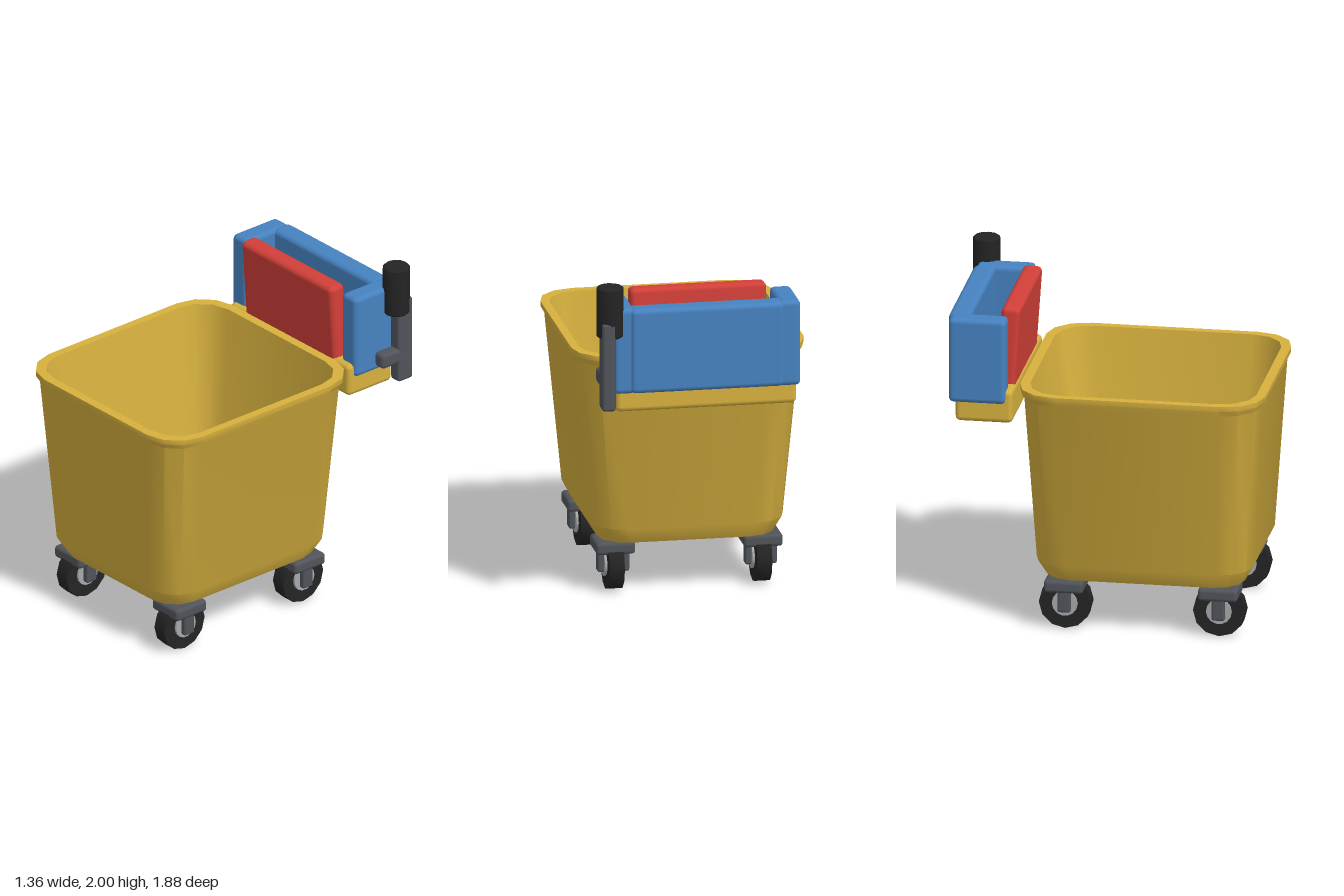
import * as THREE from 'three';
import { toCreasedNormals } from 'three/addons/utils/BufferGeometryUtils.js';
import { RoundedBoxGeometry } from 'three/addons/geometries/RoundedBoxGeometry.js';

const material = (name, color) => Object.assign(new THREE.MeshStandardMaterial({ color }), { name });

// Rounded-rectangle outline: half width hx, half depth hz, corner radius r
function ring(hx, hz, r, steps) {
  const points = [];
  const signs = [[1, 1], [-1, 1], [-1, -1], [1, -1]];
  signs.forEach(([sx, sz], corner) => {
    for (let i = 0; i <= steps; i++) {
      const a = (corner + i / steps) * Math.PI / 2;
      points.push([sx * (hx - r) + r * Math.cos(a), sz * (hz - r) + r * Math.sin(a)]);
    }
  });
  return points;
}

// Skin joining rounded-rectangle cross-sections [y, hx, hz, r]
function loft(sections, steps) {
  const positions = [], index = [], n = 4 * (steps + 1);
  sections.forEach(([y, hx, hz, r]) => ring(hx, hz, r, steps).forEach(([x, z]) => positions.push(x, y, z)));
  for (let i = 0; i < sections.length - 1; i++) {
    for (let j = 0; j < n; j++) {
      const a = i * n + j, b = i * n + (j + 1) % n;
      index.push(a, a + n, b + n, a, b + n, b);
    }
  }
  const geometry = new THREE.BufferGeometry();
  geometry.setAttribute('position', new THREE.Float32BufferAttribute(positions, 3));
  geometry.setIndex(index);
  return toCreasedNormals(geometry, 0.6);
}

export function createModel() {
  const model = new THREE.Group();
  model.name = 'mopBucket';
  const yellow = material('yellow plastic', 0xd6b03e);
  const blue = material('blue plastic', 0x4682c0);
  const red = material('red plastic', 0xd23f38);
  const black = material('black rubber', 0x242424);
  const steel = material('dark grey metal', 0x50545a);
  const hubGrey = material('light grey hub', 0xa6a8aa);
  const waterBlue = material('water', 0x8cadb9);

  function add(name, geometry, mat, x, y, z, parent = model) {
    const mesh = new THREE.Mesh(geometry, mat);
    mesh.name = name;
    mesh.position.set(x, y, z);
    parent.add(mesh);
    return mesh;
  }
  const box = (w, h, d, bevel) => new RoundedBoxGeometry(w, h, d, 2, bevel);

  // Bucket: outside from the bottom up, over the rim, then down inside
  const bucketZ = 0.225;
  add('bucket', loft([
    [0.305, 0, 0, 0],
    [0.305, 0.515, 0.58, 0.17],
    [0.40, 0.565, 0.632, 0.19],
    [1.40, 0.66, 0.695, 0.22],
    [1.435, 0.68, 0.715, 0.23],
    [1.465, 0.68, 0.715, 0.23],
    [1.465, 0.63, 0.66, 0.2],
    [0.37, 0.50, 0.525, 0.15],
    [0.37, 0, 0, 0],
  ], 3), yellow, 0, 0, bucketZ);

  // Water on the bucket floor
  add('water', loft([
    [0.37, 0.435, 0.45, 0.17],
    [0.378, 0.435, 0.45, 0.17],
    [0.378, 0, 0, 0],
  ], 8), waterBlue, 0, 0, bucketZ);

  // Four casters
  for (const x of [-0.432, 0.432]) {
    for (const z of [-0.225, 0.675]) {
      const caster = new THREE.Group();
      caster.name = 'caster';
      caster.position.set(x, 0, z);
      model.add(caster);
      add('casterPlate', box(0.23, 0.075, 0.23, 0.022), steel, 0, 0.267, 0, caster);
      const tyre = new THREE.CylinderGeometry(0.153, 0.153, 0.088, 12).rotateZ(Math.PI / 2);
      add('wheel', toCreasedNormals(tyre, 0.6), black, 0, 0.153, 0, caster);
      const hub = new THREE.CylinderGeometry(0.075, 0.075, 0.115, 14).rotateZ(Math.PI / 2);
      add('wheelHub', toCreasedNormals(hub, 0.6), hubGrey, 0, 0.153, 0, caster);
      for (const side of [-1, 1]) {
        add('forkArm', box(0.04, 0.15, 0.075, 0.012), steel, side * 0.073, 0.182, 0, caster);
      }
    }
  }

  // Wringer: tray, back panel, mirrored side panels and tilted press plate
  const wringer = new THREE.Group();
  wringer.name = 'wringer';
  model.add(wringer);
  add('wringerTray', box(1.06, 0.2, 0.335, 0.03), yellow, 0, 1.34, -0.692, wringer);
  add('wringerBack', box(0.9, 0.505, 0.13, 0.03), blue, 0, 1.612, -0.847, wringer);
  for (const side of [-1, 1]) {
    add('wringerSide', box(0.127, 0.51, 0.335, 0.03), blue, side * 0.484, 1.612, -0.729, wringer);
  }
  add('pressPlate', box(0.8, 0.5, 0.11, 0.03), red, 0, 1.65, -0.572, wringer).rotation.x = 0.07;

  // Lever: pivot arm, upright post and grip
  const lever = new THREE.Group();
  lever.name = 'lever';
  model.add(lever);
  add('leverPivot', box(0.08, 0.095, 0.18, 0.025), steel, 0.583, 1.437, -0.795, lever);
  add('leverPost', box(0.08, 0.525, 0.11, 0.018), steel, 0.583, 1.532, -0.882, lever);
  const gripProfile = [[0, -0.15], [0.07, -0.15], [0.08, -0.14], [0.08, 0.14], [0.07, 0.15], [0, 0.15]];
  const grip = new THREE.LatheGeometry(gripProfile.map(([r, y]) => new THREE.Vector2(r, y)), 12);
  add('leverGrip', toCreasedNormals(grip, 0.6), black, 0.565, 1.85, -0.857, lever);

  return model;
}
